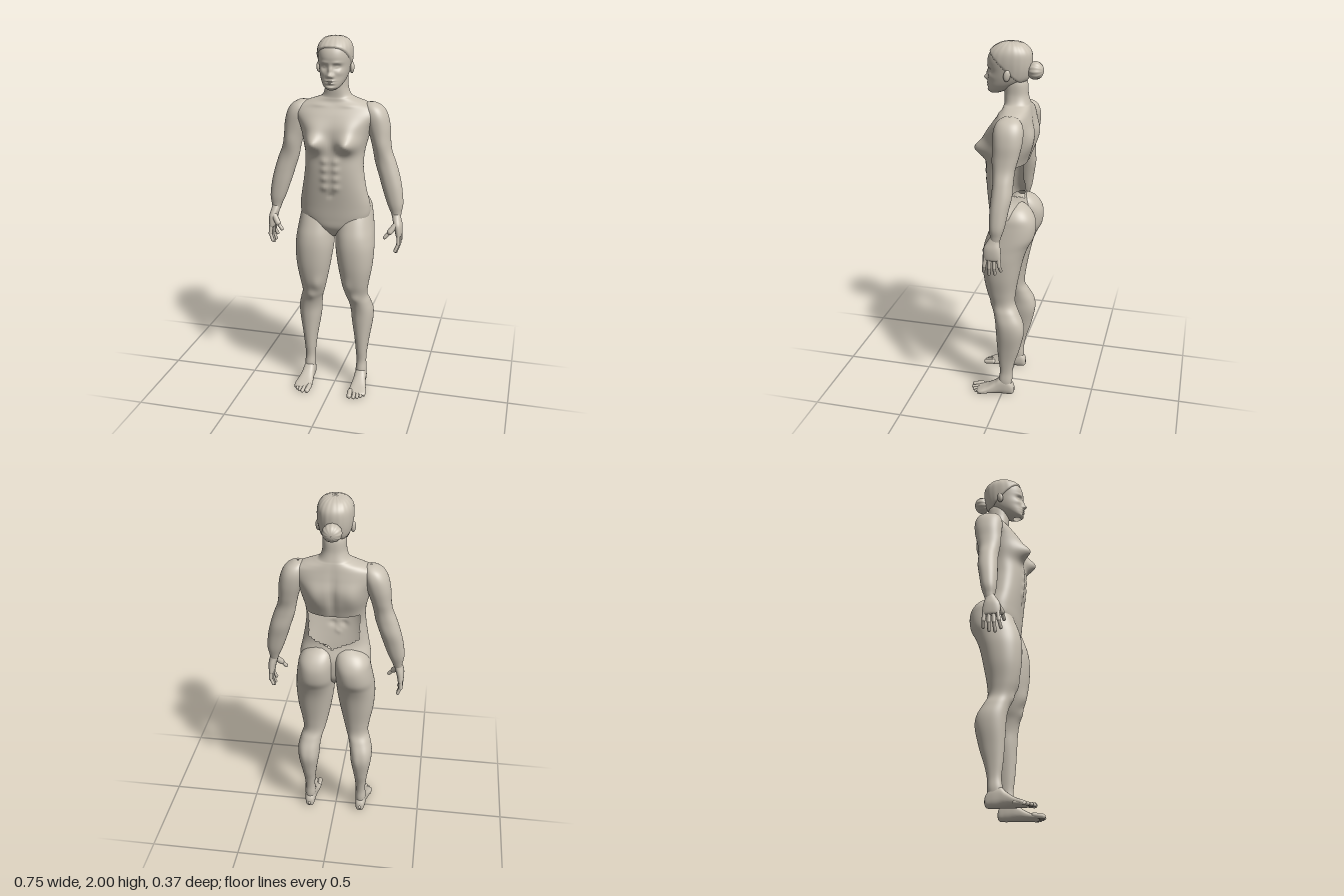
import * as THREE from 'three';

const skin = new THREE.MeshStandardMaterial({ color: 0xcac2b4, side: THREE.DoubleSide });
skin.name = 'warm clay';

// Catmull-Rom blend of neighbouring cross-sections
function sectionAt(rows, u) {
  const i = Math.min(Math.floor(u), rows.length - 2), t = u - i;
  const [a, b, c, d] = [i - 1, i, i + 1, i + 2].map(k => rows[Math.min(Math.max(k, 0), rows.length - 1)]);
  return b.map((_, k) => 0.5 * (2 * b[k] + (c[k] - a[k]) * t + (2 * a[k] - 5 * b[k] + 4 * c[k] - d[k]) * t * t
    + (3 * b[k] - a[k] - 3 * c[k] + d[k]) * t * t * t));
}

// Lofted skin: rows are [y, xMin, xMax, zMin, zMax], listed upwards.
// bumps are [x, y, widthX, widthY, height, side], mirrored in x; side 1 is front, -1 back.
function loft(rows, { segs = 48, steps = 6, power = 0.9, bumps = [], warp = null, skip = null } = {}) {
  const pos = [], index = [], count = (rows.length - 1) * steps;
  const curve = v => Math.sign(v) * Math.abs(v) ** power;
  for (let i = 0; i <= count; i++) {
    const [y, x0, x1, z0, z1] = sectionAt(rows, i / steps);
    for (let j = 0; j < segs; j++) {
      const a = j / segs * Math.PI * 2, sn = Math.sin(a);
      const p = new THREE.Vector3((x0 + x1) / 2 + (x1 - x0) / 2 * curve(Math.cos(a)), y,
        (z0 + z1) / 2 + (z1 - z0) / 2 * curve(sn));
      let push = 0;
      for (const [bx, by, wx, wy, h, side] of bumps) {
        const w = Math.min(1, Math.max(0, sn * side * 2));
        push += side * w * h * Math.exp(-(((Math.abs(p.x) - bx) / wx) ** 2) - ((y - by) / wy) ** 2);
      }
      p.z += push;
      if (warp) warp(p, a);
      pos.push(p.x, p.y, p.z);
    }
  }
  for (let i = 0; i < count; i++) for (let j = 0; j < segs; j++) {
    const a = i * segs + j, b = i * segs + (j + 1) % segs, c = a + segs, d = b + segs;
    if (skip && skip(pos[a * 3], pos[a * 3 + 1], pos[a * 3 + 2])) continue;
    index.push(a, c, b, b, c, d);
  }
  const g = new THREE.BufferGeometry();
  g.setAttribute('position', new THREE.Float32BufferAttribute(pos, 3));
  g.setIndex(index);
  g.computeVertexNormals();
  return g;
}

const centred = rows => rows.map(([y, h, z0, z1]) => [y, -h, h, z0, z1]);
const sided = (rows, s) => s > 0 ? rows : rows.map(([y, a, b, c, d]) => [y, -b, -a, c, d]);

export function createModel() {
  const model = new THREE.Group();
  model.name = 'standingFigure';
  const add = (name, geo, parent = model) => {
    const m = new THREE.Mesh(geo, skin);
    m.name = name;
    parent.add(m);
    return m;
  };
  const ball = (name, x, y, z, rx, ry, rz, parent) => {
    const m = add(name, new THREE.SphereGeometry(1, 24, 16), parent);
    m.position.set(x, y, z);
    m.scale.set(rx, ry, rz);
    return m;
  };
  // Rounded finger or toe segment between two points
  const digit = (name, a, b, r, s, parent) => {
    const p = new THREE.Vector3(a[0] * s, a[1], a[2]), q = new THREE.Vector3(b[0] * s, b[1], b[2]);
    const m = add(name, new THREE.CapsuleGeometry(r, p.distanceTo(q), 5, 12), parent);
    m.position.copy(p).lerp(q, 0.5);
    m.quaternion.setFromUnitVectors(new THREE.Vector3(0, 1, 0), q.sub(p).normalize());
  };

  // Torso and neck, open at the small of the back
  const torso = centred([
    [0.915, 0.015, -0.03, 0.02], [0.94, 0.05, -0.07, 0.05], [0.98, 0.13, -0.1, 0.075],
    [1.03, 0.185, -0.11, 0.083], [1.1, 0.193, -0.11, 0.09], [1.18, 0.178, -0.085, 0.1],
    [1.25, 0.166, -0.085, 0.108], [1.32, 0.158, -0.09, 0.112], [1.39, 0.16, -0.115, 0.11],
    [1.46, 0.175, -0.138, 0.105], [1.53, 0.195, -0.148, 0.098], [1.59, 0.225, -0.138, 0.07],
    [1.63, 0.215, -0.13, 0.042], [1.655, 0.165, -0.125, 0.025], [1.675, 0.105, -0.12, 0.02],
    [1.69, 0.077, -0.115, 0.018], [1.73, 0.062, -0.105, 0.02], [1.79, 0.06, -0.1, 0.02],
    [1.84, 0.05, -0.08, 0.01]]);
  const torsoBumps = [
    [0.092, 1.455, 0.052, 0.046, 0.068, 1], [0.1, 1.53, 0.06, 0.05, 0.015, 1], [0, 1.17, 0.012, 0.014, -0.006, 1],
    [0.1, 1.5, 0.05, 0.07, 0.014, -1], [0, 1.5, 0.02, 0.12, -0.012, -1], [0.08, 1.645, 0.05, 0.012, 0.006, 1]];
  for (const y of [1.215, 1.265, 1.315, 1.36]) torsoBumps.push([0.03, y, 0.02, 0.019, 0.009, 1]);
  add('torso', loft(torso, {
    segs: 96, steps: 8, power: 0.88, bumps: torsoBumps,
    skip: (x, y, z) => z < -0.03 && Math.abs(x) < 0.135 && y < 1.37 && y > 1.16 + 0.4 * Math.abs(x),
  }));

  // Head with face relief
  const skull = centred([
    [1.733, 0.02, 0.05, 0.092], [1.748, 0.042, 0.01, 0.106], [1.775, 0.06, -0.05, 0.108],
    [1.81, 0.073, -0.095, 0.105], [1.85, 0.081, -0.112, 0.103], [1.9, 0.086, -0.118, 0.108],
    [1.94, 0.083, -0.114, 0.096], [1.968, 0.069, -0.094, 0.068], [1.985, 0.046, -0.065, 0.035],
    [1.993, 0.004, -0.016, -0.008]]);
  const head = new THREE.Group();
  head.name = 'head';
  model.add(head);
  add('face', loft(skull, {
    segs: 96, steps: 10, bumps: [
      [0, 1.81, 0.013, 0.012, 0.021, 1], [0, 1.835, 0.01, 0.022, 0.013, 1], [0.013, 1.805, 0.008, 0.008, 0.008, 1],
      [0.035, 1.852, 0.019, 0.013, -0.012, 1], [0.035, 1.873, 0.025, 0.008, 0.005, 1],
      [0.034, 1.851, 0.011, 0.006, 0.006, 1], [0.05, 1.822, 0.018, 0.016, 0.006, 1],
      [0, 1.783, 0.021, 0.005, 0.008, 1], [0, 1.77, 0.018, 0.005, 0.007, 1], [0, 1.7765, 0.025, 0.002, -0.004, 1],
      [0, 1.758, 0.025, 0.006, -0.004, 1], [0, 1.745, 0.02, 0.01, 0.005, 1]],
  }), head);
  // Hair shell: swells out above the hairline and sinks into the skull below it
  add('hair', loft(skull, {
    segs: 120, steps: 10, warp: (p, a) => {
      const line = 1.765 + 0.18 * THREE.MathUtils.clamp((p.z + 0.1) / 0.19, 0, 1);
      const grow = 0.94 + 0.12 * THREE.MathUtils.smoothstep(p.y, line - 0.008, line + 0.01) + 0.004 * Math.cos(a * 20);
      p.set(p.x * grow, 1.88 + (p.y - 1.88) * grow, -0.005 + (p.z + 0.005) * grow);
    },
    skip: (x, y, z) => y < 1.75 + 0.16 * THREE.MathUtils.clamp((z + 0.1) / 0.19, 0, 1),
  }), head);
  const bun = [];
  for (let i = 0; i <= 8; i++) {
    const t = -Math.PI / 2 + i / 8 * Math.PI, r = Math.max(0.02, Math.cos(t));
    bun.push([0.043 * Math.sin(t), -0.049 * r, 0.049 * r, -0.046 * r, 0.046 * r]);
  }
  const bunGeo = loft(bun, {
    segs: 72, steps: 4, power: 1, warp: (p, a) => { const k = 1 + 0.025 * Math.cos(a * 12); p.x *= k; p.z *= k; },
  });
  bunGeo.rotateX(Math.PI / 2);
  add('hairBun', bunGeo, head).position.set(0, 1.855, -0.14);

  // Limb cross-sections for the left side
  const arm = [
    [1.04, 0.318, 0.362, -0.035, 0.012], [1.07, 0.308, 0.366, -0.045, 0.014], [1.12, 0.286, 0.373, -0.06, 0.02],
    [1.2, 0.258, 0.364, -0.075, 0.021], [1.27, 0.236, 0.348, -0.088, 0.018], [1.34, 0.214, 0.326, -0.09, 0.014],
    [1.4, 0.202, 0.303, -0.095, 0.015], [1.46, 0.188, 0.293, -0.11, 0.02], [1.53, 0.165, 0.288, -0.124, 0.026],
    [1.59, 0.15, 0.274, -0.126, 0.026], [1.63, 0.15, 0.25, -0.112, 0.012], [1.652, 0.16, 0.215, -0.085, -0.015],
    [1.658, 0.18, 0.19, -0.055, -0.045]];
  const palm = [
    [0.94, 0.348, 0.368, -0.04, 0.04], [0.95, 0.342, 0.374, -0.048, 0.046], [0.98, 0.336, 0.376, -0.046, 0.048],
    [1.01, 0.328, 0.374, -0.042, 0.044], [1.04, 0.32, 0.366, -0.036, 0.028], [1.07, 0.318, 0.358, -0.034, 0.01]];
  const leg = [
    [0.03, 0.13, 0.176, -0.05, 0.015], [0.09, 0.122, 0.184, -0.058, 0.02], [0.15, 0.125, 0.18, -0.06, 0.012],
    [0.22, 0.12, 0.185, -0.075, 0.02], [0.3, 0.11, 0.196, -0.1, 0.027], [0.4, 0.094, 0.212, -0.12, 0.033],
    [0.47, 0.088, 0.214, -0.113, 0.038], [0.53, 0.078, 0.2, -0.088, 0.05], [0.58, 0.062, 0.186, -0.066, 0.065],
    [0.65, 0.045, 0.195, -0.07, 0.09], [0.75, 0.025, 0.213, -0.088, 0.108], [0.85, 0.01, 0.22, -0.11, 0.113],
    [0.92, 0.006, 0.216, -0.135, 0.106], [0.98, 0.004, 0.209, -0.165, 0.088], [1.05, 0.003, 0.198, -0.173, 0.06],
    [1.1, 0.005, 0.187, -0.159, 0.03], [1.14, 0.018, 0.155, -0.127, 0], [1.165, 0.05, 0.1, -0.085, -0.04]];
  // Foot runs along z: [z, xMin, xMax, -top, -bottom]
  const foot = [
    [-0.071, 0.148, 0.16, -0.045, -0.025], [-0.062, 0.13, 0.176, -0.07, -0.005], [-0.03, 0.123, 0.184, -0.105, 0],
    [0.01, 0.12, 0.187, -0.105, 0], [0.04, 0.118, 0.192, -0.078, 0], [0.08, 0.112, 0.203, -0.05, 0],
    [0.115, 0.109, 0.211, -0.034, 0], [0.135, 0.112, 0.205, -0.026, -0.002], [0.148, 0.125, 0.185, -0.018, -0.006]];

  for (const s of [1, -1]) {
    const side = s > 0 ? 'left' : 'right';
    ball(side + 'Ear', 0.088 * s, 1.838, -0.012, 0.012, 0.03, 0.018, head).rotation.set(-0.15, 0.35 * s, 0);

    const limb = new THREE.Group();
    limb.name = side + 'ArmGroup';
    model.add(limb);
    add(side + 'Arm', loft(sided(arm, s), { bumps: [[0.25, 1.43, 0.04, 0.06, 0.008, 1]] }), limb);
    add(side + 'Palm', loft(sided(palm, s), { segs: 32 }), limb);
    // Fingers fan out along z and curl slightly inward
    [[0.034, 0.049, 0.865], [0.012, 0.019, 0.85], [-0.011, -0.012, 0.855], [-0.034, -0.043, 0.876]].forEach(([z0, z1, tip], i) => {
      const mid = [0.362, (0.95 + tip) / 2, (z0 + z1) / 2];
      digit(side + 'Finger' + i, [0.36, 0.955, z0], mid, 0.0105, s, limb);
      digit(side + 'Fingertip' + i, mid, [0.347, tip + 0.006, z1], 0.009, s, limb);
    });
    digit(side + 'ThumbBase', [0.342, 1.01, 0.026], [0.315, 0.975, 0.046], 0.016, s, limb);
    digit(side + 'Thumb', [0.315, 0.975, 0.046], [0.29, 0.945, 0.054], 0.01, s, limb);

    const lower = new THREE.Group();
    lower.name = side + 'LegGroup';
    model.add(lower);
    add(side + 'Leg', loft(sided(leg, s), {
      segs: 56, bumps: [[0.125, 0.565, 0.03, 0.03, 0.01, 1], [0.08, 0.64, 0.03, 0.04, 0.008, 1],
        [0.12, 0.43, 0.03, 0.07, 0.006, -1], [0.185, 0.45, 0.03, 0.07, 0.006, -1]],
    }), lower);
    add(side + 'Foot', loft(sided(foot, s), { segs: 40, power: 0.8 }).rotateX(Math.PI / 2), lower);
    [[0.124, 0.17, 0.014], [0.15, 0.173, 0.0105], [0.169, 0.163, 0.01], [0.186, 0.149, 0.0095], [0.201, 0.13, 0.009]]
      .forEach(([x, z, r], i) => digit(side + 'Toe' + i, [x - 0.004, r + 0.008, z - 0.045], [x, r, z], r, s, lower));
  }
  return model;
}
